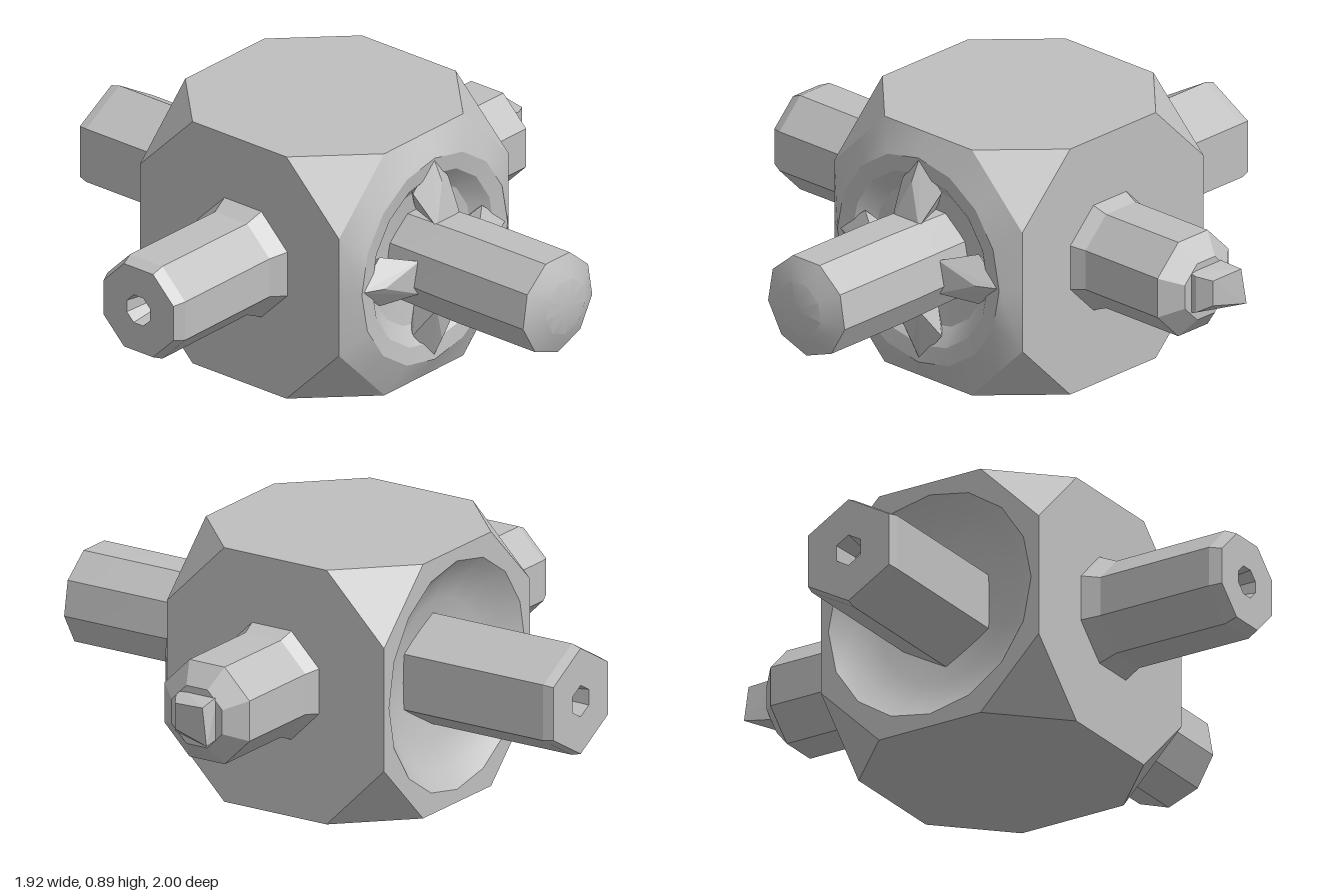
import * as THREE from 'three';
import { toCreasedNormals } from 'three/addons/utils/BufferGeometryUtils.js';
import { ConvexGeometry } from 'three/addons/geometries/ConvexGeometry.js';

const CY = 0.445, HX = 0.43, HY = 0.445, FRONT = 0.37, BACK = -0.5;
const CUT = 0.23;

function flat(geometry) {
  const g = geometry.index ? geometry.toNonIndexed() : geometry;
  g.computeVertexNormals();
  return g;
}

// Octagonal outline of a body end, 16 points: corners and edge middles alternate.
function octagonRing(z) {
  const x = HX - CUT, y = HY - CUT;
  const c = [[HX, -y], [HX, y], [x, HY], [-x, HY], [-HX, y], [-HX, -y], [-x, -HY], [x, -HY]];
  const ring = [];
  c.forEach((p, i) => {
    const q = c[(i + 1) % 8];
    ring.push([p[0], p[1] + CY, z], [(p[0] + q[0]) / 2, (p[1] + q[1]) / 2 + CY, z]);
  });
  return ring;
}

function circleRing(r, z) {
  return Array.from({ length: 16 }, (_, i) => {
    const a = (i - 1) * Math.PI / 8;
    return [r * Math.cos(a), CY + r * Math.sin(a), z];
  });
}

// Skin between successive rings, from the outer one inward.
function loft(rings, reverse) {
  const pos = [];
  const tri = (a, b, c) => pos.push(...a, ...(reverse ? c : b), ...(reverse ? b : c));
  for (let i = 0; i < rings.length - 1; i++) {
    for (let k = 0; k < 16; k++) {
      const n = (k + 1) % 16, p = rings[i], q = rings[i + 1];
      tri(p[k], p[n], q[n]);
      tri(p[k], q[n], q[k]);
    }
  }
  const g = new THREE.BufferGeometry();
  g.setAttribute('position', new THREE.Float32BufferAttribute(pos, 3));
  return toCreasedNormals(g, 0.5);
}

// Cube with its corners cut off, left open at the front and back.
function bodyShell() {
  const pts = [];
  for (const sx of [-1, 1]) for (const sy of [-1, 1]) for (const z of [FRONT, BACK]) {
    const inZ = z + (z > 0 ? -CUT : CUT);
    pts.push(new THREE.Vector3(sx * (HX - CUT), CY + sy * HY, z),
      new THREE.Vector3(sx * HX, CY + sy * (HY - CUT), z),
      new THREE.Vector3(sx * HX, CY + sy * HY, inZ));
  }
  // the third point of each corner lies on the upright edge
  const hull = new ConvexGeometry(pts).getAttribute('position');
  const kept = [];
  for (let i = 0; i < hull.count; i += 3) {
    const z = [0, 1, 2].map(j => hull.getZ(i + j));
    const isEnd = [FRONT, BACK].some(e => z.every(v => Math.abs(v - e) < 1e-4));
    if (isEnd) continue;
    for (let j = 0; j < 3; j++) kept.push(hull.getX(i + j), hull.getY(i + j), hull.getZ(i + j));
  }
  const g = new THREE.BufferGeometry();
  g.setAttribute('position', new THREE.Float32BufferAttribute(kept, 3));
  return flat(g);
}

// Faceted rod: profile of [radius, distance along the direction].
function rod(profile, sides, twist, dir, origin) {
  const g = new THREE.LatheGeometry(profile.map(p => new THREE.Vector2(...p)), sides);
  g.rotateY(twist);
  g.applyQuaternion(new THREE.Quaternion().setFromUnitVectors(
    new THREE.Vector3(0, 1, 0), new THREE.Vector3(...dir)));
  g.translate(...origin);
  return flat(g);
}

export function createModel() {
  const group = new THREE.Group();
  const grey = new THREE.MeshStandardMaterial({ color: 0xbfbfbf });
  grey.name = 'stone grey';
  const add = (name, geometry) => {
    const mesh = new THREE.Mesh(geometry, grey);
    mesh.name = name;
    group.add(mesh);
    return mesh;
  };

  // Body with a swollen front rim and a dished back
  add('body', bodyShell());
  add('frontDish', loft([octagonRing(FRONT), circleRing(0.37, 0.418), circleRing(0.31, 0.41),
    circleRing(0.25, 0.36), circleRing(0.1, 0.34)], false));
  add('backDish', loft([octagonRing(BACK), circleRing(0.4, BACK), circleRing(0.34, -0.45),
    circleRing(0.25, -0.41), circleRing(0.1, -0.39)], true));

  // Rods
  const side = [0, 0.46, -0.05], mid = [0, 0.45, 0];
  add('rightRod', rod([[0.215, 0.42], [0.182, 0.49], [0.184, 0.92], [0.165, 0.96],
    [0.055, 0.96], [0.04, 0.86], [0, 0.86]], 8, Math.PI / 8, [-1, 0, 0], side));
  add('leftRod', rod([[0.21, 0.42], [0.184, 0.48], [0.184, 0.81], [0.11, 0.87], [0, 0.87]],
    8, Math.PI / 8, [1, 0, 0], side));
  add('backRod', rod([[0.195, 0.35], [0.195, 0.96], [0.185, 0.995], [0.055, 0.995],
    [0.04, 0.9], [0, 0.9]], 6, 0, [0, 0, -1], mid));
  add('frontRod', toCreasedNormals(rod([[0.17, 0.3], [0.178, 0.6], [0.178, 0.955], [0.1, 0.99],
    [0, 1]], 9, 0, [0, 0, 1], mid), 0.35));

  // Slanted nub on the left rod
  const nub = [[0.85, 0.39, -0.12], [0.85, 0.54, -0.12], [0.85, 0.39, 0.02], [0.85, 0.54, 0.02],
    [0.89, 0.4, 0.02], [0.89, 0.53, 0.02], [0.96, 0.4, -0.15], [0.955, 0.53, -0.13],
    [0.94, 0.43, -0.01], [0.94, 0.52, -0.01]];
  add('leftNub', flat(new ConvexGeometry(nub.map(p => new THREE.Vector3(...p)))));

  // Four crystals around the front rod
  const crystal = [[0.37, 0, 0.41], [0.15, 0.06, 0.48], [0.15, -0.06, 0.48], [0.26, 0.09, 0.4],
    [0.26, -0.09, 0.4], [0.29, 0, 0.45], [0.25, 0, 0.3], [0.15, 0, 0.33]];
  const crystalGeometry = flat(new ConvexGeometry(crystal.map(p => new THREE.Vector3(...p))));
  for (let i = 0; i < 4; i++) {
    const c = add('frontCrystal', crystalGeometry);
    c.position.set(0, 0.45, 0);
    c.rotation.z = i * Math.PI / 2;
  }
  return group;
}
